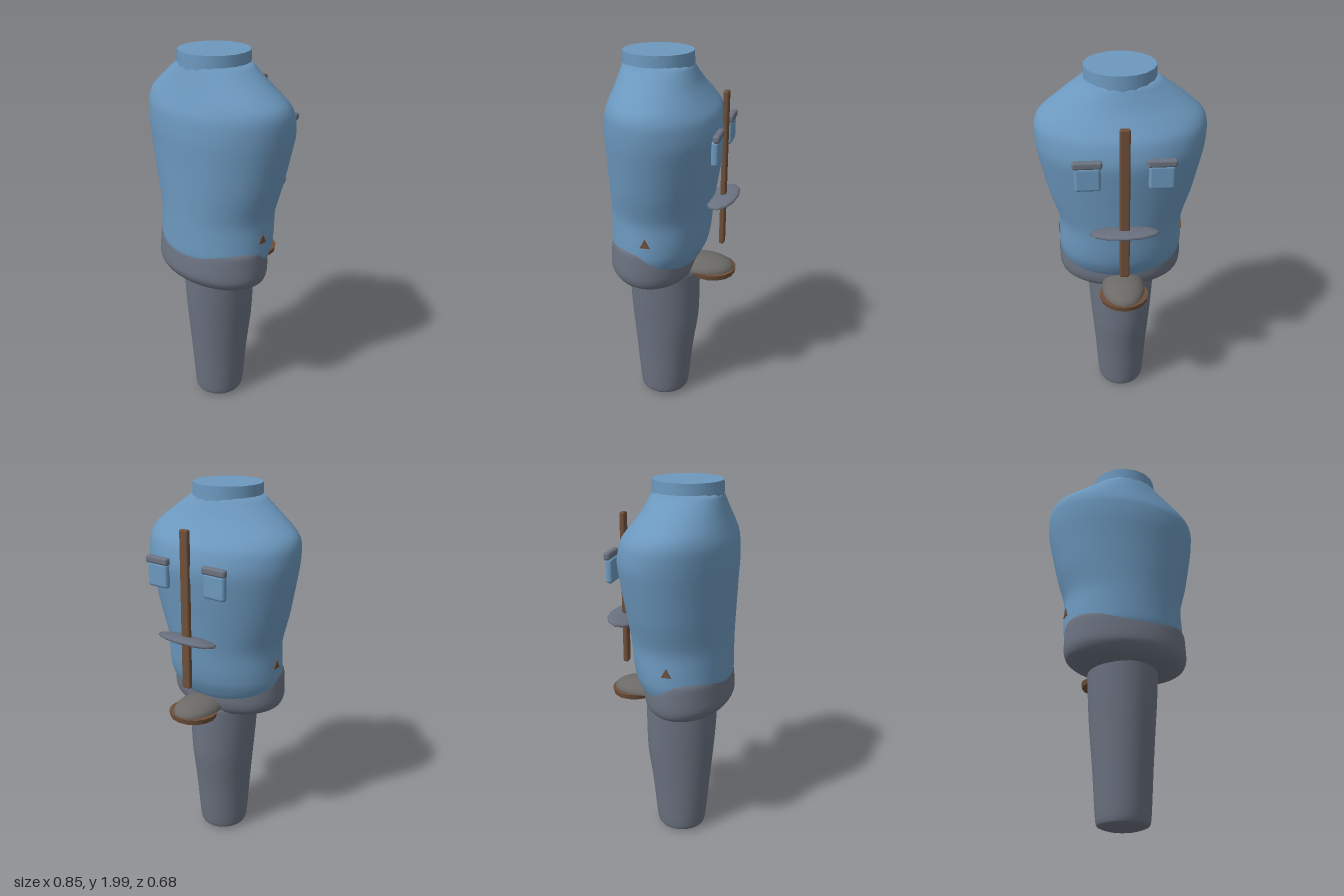
import * as THREE from 'three';
import { RoundedBoxGeometry } from 'three/addons/geometries/RoundedBoxGeometry.js';

const mat = (name, color) => {
  const m = new THREE.MeshStandardMaterial({ color });
  m.name = name;
  return m;
};

// Closed loft of elliptical rings; each row is [y, half width, front z, back z]
function loft(rows, seg = 40, steps = 4) {
  const a = new THREE.CatmullRomCurve3(rows.map(r => new THREE.Vector3(r[1], r[0], 0)), false, 'catmullrom', 0.4);
  const b = new THREE.CatmullRomCurve3(rows.map(r => new THREE.Vector3(r[2], r[3], 0)), false, 'catmullrom', 0.4);
  const n = (rows.length - 1) * steps;
  const pos = [], idx = [];
  const ring = (y, hx, zc, hz) => {
    for (let j = 0; j < seg; j++) {
      const t = (j / seg) * Math.PI * 2;
      pos.push(hx * Math.cos(t), y, zc + hz * Math.sin(t));
    }
  };
  for (let i = 0; i <= n; i++) {
    const p = a.getPoint(i / n), q = b.getPoint(i / n);
    const zc = (q.x + q.y) / 2, hz = (q.x - q.y) / 2;
    if (i === 0) ring(p.y, 0, zc, 0);
    ring(p.y, p.x, zc, hz);
    if (i === n) ring(p.y, 0, zc, 0);
  }
  for (let i = 0; i < n + 2; i++) {
    for (let j = 0; j < seg; j++) {
      const k = (j + 1) % seg;
      const p = i * seg + j, q = p + seg, r = i * seg + k, s = r + seg;
      idx.push(p, q, r, r, q, s);
    }
  }
  const g = new THREE.BufferGeometry();
  g.setAttribute('position', new THREE.Float32BufferAttribute(pos, 3));
  g.setIndex(idx);
  g.computeVertexNormals();
  return g;
}

export function createModel() {
  const group = new THREE.Group();
  const blue = mat('blue cloth', 0x6c98be);
  const grey = mat('slate grey', 0x6b7280);
  const brown = mat('brown leather', 0x6e4f3a);
  const warmGrey = mat('warm grey', 0x6b6a67);

  const add = (name, geometry, material, x = 0, y = 0, z = 0) => {
    const m = new THREE.Mesh(geometry, material);
    m.name = name;
    m.position.set(x, y, z);
    group.add(m);
    return m;
  };

  // Body
  add('torso', loft([
    [0.88, 0.25, 0.25, -0.11], [0.93, 0.305, 0.31, -0.145], [1.0, 0.327, 0.331, -0.177],
    [1.08, 0.328, 0.331, -0.193], [1.2, 0.326, 0.33, -0.205], [1.35, 0.368, 0.333, -0.225],
    [1.5, 0.40, 0.337, -0.247], [1.62, 0.422, 0.341, -0.26], [1.72, 0.426, 0.333, -0.235],
    [1.78, 0.402, 0.312, -0.19], [1.85, 0.315, 0.285, -0.138], [1.945, 0.18, 0.254, -0.09],
  ], 48), blue);
  add('pelvis', loft([
    [0.80, 0.22, 0.23, -0.06], [0.812, 0.275, 0.275, -0.095], [0.84, 0.318, 0.315, -0.12],
    [0.885, 0.334, 0.339, -0.132], [0.96, 0.333, 0.335, -0.13], [1.02, 0.328, 0.325, -0.11],
    [1.05, 0.31, 0.31, -0.09],
  ], 48), grey);
  add('leg', loft([
    [0.006, 0.08, 0.145, -0.025], [0.018, 0.115, 0.18, -0.06], [0.05, 0.134, 0.2, -0.08],
    [0.3, 0.15, 0.221, -0.106], [0.5, 0.165, 0.238, -0.134], [0.65, 0.176, 0.248, -0.139],
    [0.86, 0.187, 0.256, -0.139],
  ], 32), grey);
  add('neck', new THREE.CylinderGeometry(0.177, 0.18, 0.075, 18), blue, 0, 1.9625, 0.081);

  // Pole with its curved blade on the back
  add('pole', new RoundedBoxGeometry(0.05, 0.82, 0.028, 2, 0.009), brown, 0, 1.41, -0.261);
  const blade = add('blade', new THREE.SphereGeometry(1, 12, 8), grey, 0, 1.263, -0.259);
  blade.scale.set(0.178, 0.02, 0.086);
  blade.rotation.x = 0.2;

  for (const side of [-1, 1]) {
    // Back pockets with flaps
    add('pocket', new RoundedBoxGeometry(0.125, 0.125, 0.036, 3, 0.015), blue, side * 0.175, 1.57, -0.254);
    add('pocketFlap', new RoundedBoxGeometry(0.14, 0.038, 0.034, 3, 0.012), grey, side * 0.175, 1.645, -0.261);

    // Small triangular side patch
    const tri = new THREE.Shape([[-0.026, 0], [0.026, 0], [0, 0.048]].map(p => new THREE.Vector2(...p)));
    const patch = add('sidePatch', new THREE.ExtrudeGeometry(tri, { depth: 0.008, bevelEnabled: false }),
      brown, side * 0.323, 1.08, 0.07);
    patch.rotation.y = side * Math.PI / 2;
  }

  // Shoe at the back of the pelvis
  const sole = add('shoeSole', new THREE.CylinderGeometry(1, 0.96, 0.028, 16), brown, 0, 0.838, -0.215);
  sole.scale.set(0.13, 1, 0.125);
  const upper = add('shoeUpper',
    new THREE.SphereGeometry(1, 20, 8, 0, Math.PI * 2, 0, Math.PI / 2), warmGrey, 0, 0.85, -0.165);
  upper.scale.set(0.115, 0.064, 0.165);

  return group;
}
